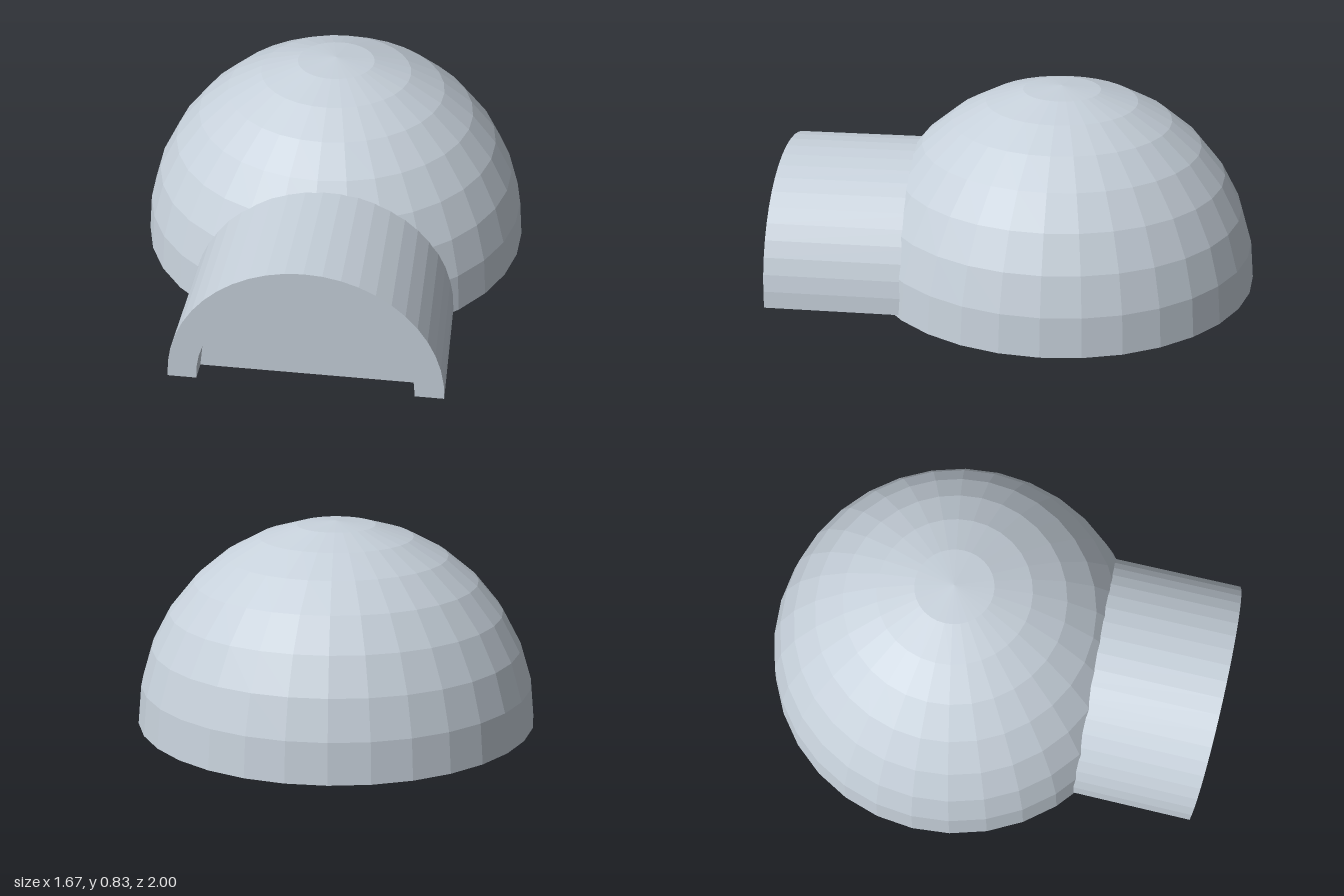
import * as THREE from 'three';

const DOME_R = 0.833, DOME_Z = -0.167;
const ARCH_X = 0.026, ARCH_Y = 0.012, ARCH_OUT = 0.541, ARCH_IN = 0.427;
const ARCH_BACK = 0.293, ARCH_FRONT = 1, DOOR_Z = 0.92;

// Open half sphere with the panels behind the entrance left out
function domeGeometry() {
  const geo = new THREE.SphereGeometry(DOME_R, 32, 8, 0, Math.PI * 2, 0, Math.PI / 2);
  const pos = geo.attributes.position;
  const idx = Array.from(geo.index.array);
  const kept = idx.slice(0, 96); // triangles of the top cap
  const a = new THREE.Vector3(), b = new THREE.Vector3();
  for (let i = 96; i < idx.length; i += 6) {
    // centre of the panel, from its diagonal
    a.fromBufferAttribute(pos, idx[i + 1]);
    b.fromBufferAttribute(pos, idx[i + 2]);
    a.add(b).multiplyScalar(0.5);
    const inDoorway = a.z > 0 && Math.hypot(a.x - ARCH_X, a.y - ARCH_Y) < 0.435;
    if (!inDoorway) kept.push(...idx.slice(i, i + 6));
  }
  geo.setIndex(kept);
  return geo;
}

// Thick half ring, extruded along z
function archGeometry() {
  const shape = new THREE.Shape();
  shape.absarc(0, 0, ARCH_OUT, 0, Math.PI, false);
  shape.absarc(0, 0, ARCH_IN, Math.PI, 0, true);
  shape.closePath();
  return new THREE.ExtrudeGeometry(shape, {
    depth: ARCH_FRONT - ARCH_BACK, bevelEnabled: false, curveSegments: 12,
  });
}

export function createModel() {
  const snow = new THREE.MeshStandardMaterial({
    color: 0xc6d0da, flatShading: true, side: THREE.DoubleSide,
  });
  snow.name = 'paleSnow';

  const model = new THREE.Group();
  model.name = 'snowHouse';
  const add = (name, geometry, x, y, z) => {
    const mesh = new THREE.Mesh(geometry, snow);
    mesh.name = name;
    mesh.position.set(x, y, z);
    model.add(mesh);
  };

  add('dome', domeGeometry(), 0, 0, DOME_Z);
  add('entranceTunnel', archGeometry(), ARCH_X, ARCH_Y, ARCH_BACK);
  // Flat half-round panel set back in the opening
  add('doorPanel', new THREE.CircleGeometry(ARCH_IN, 12, 0, Math.PI), ARCH_X, ARCH_Y, DOOR_Z);
  return model;
}
